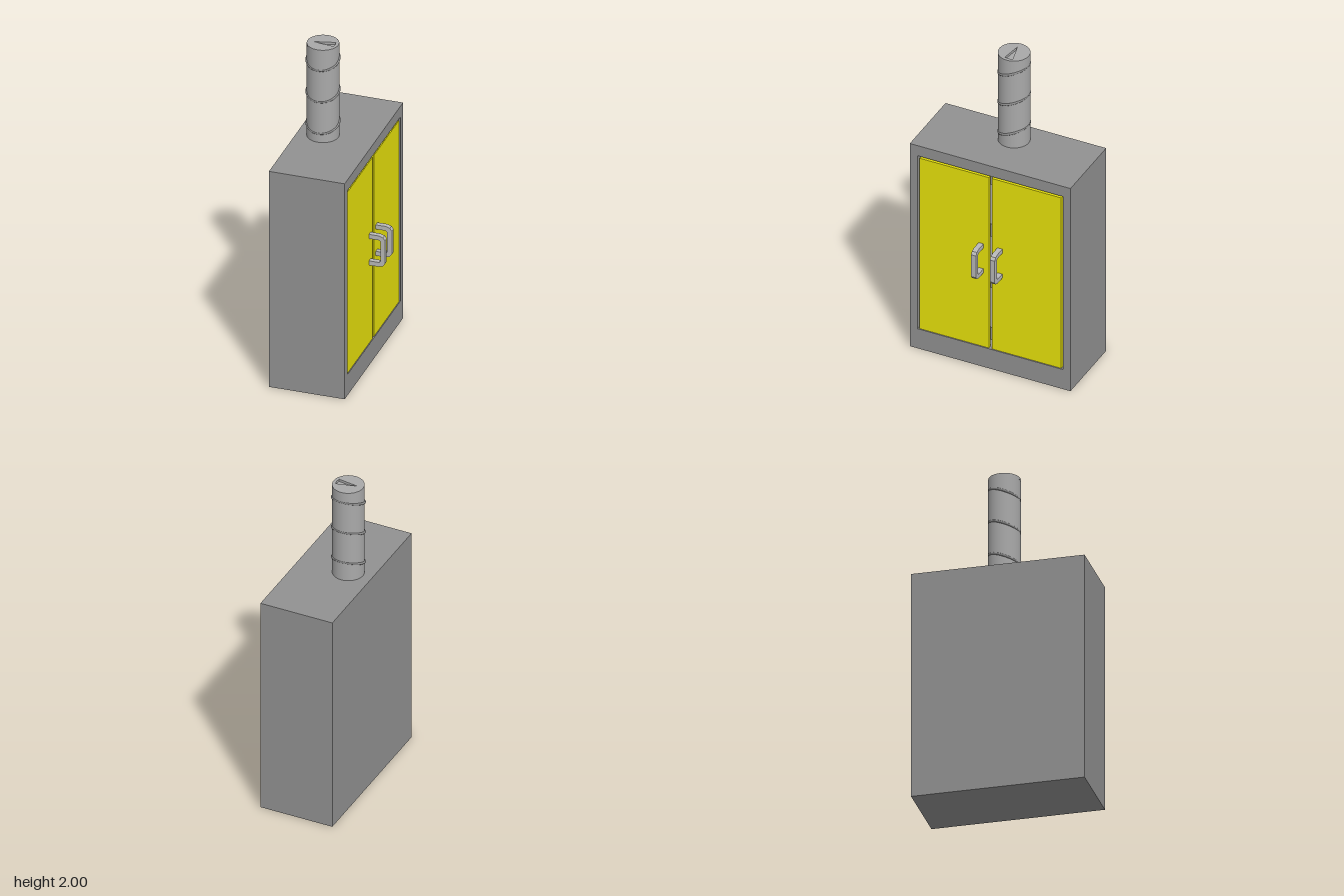
import * as THREE from 'three';

const cabinetGrey = new THREE.MeshStandardMaterial({ color: 0x919191 });
const pipeGrey = new THREE.MeshStandardMaterial({ color: 0xa9a9a9 });
const ringGrey = new THREE.MeshStandardMaterial({ color: 0x8c8c8c });
const handleGrey = new THREE.MeshStandardMaterial({ color: 0xb8b8b8 });
const yellow = new THREE.MeshStandardMaterial({ color: 0xe8e20b });

function add(parent, name, geometry, x, y, z, material) {
  const mesh = new THREE.Mesh(geometry, material);
  mesh.name = name;
  mesh.position.set(x, y, z);
  parent.add(mesh);
}

const polygon = (points) => points.map(([x, y]) => new THREE.Vector2(x, y));

function extrude(shape, depth) {
  return new THREE.ExtrudeGeometry(shape, { depth, bevelEnabled: false, curveSegments: 32 });
}

export function createModel() {
  const model = new THREE.Group();
  model.name = 'ventilatedCabinet';
  const back = -0.275, front = 0.182, panel = 0.02;

  // Hollow cabinet body, open towards +x, closed by a full back panel
  const outline = new THREE.Shape(polygon([[-0.512, 0], [0.512, 0], [0.512, 1.4], [-0.512, 1.4]]));
  outline.holes.push(new THREE.Path(polygon([[-0.463, 0.135], [-0.463, 1.33], [0.463, 1.33], [0.463, 0.135]])));
  add(model, 'cabinetBody', extrude(outline, front - back - panel).rotateY(Math.PI / 2), back + panel, 0, 0, cabinetGrey);
  add(model, 'backPanel', new THREE.BoxGeometry(panel, 1.4, 1.024), back + panel / 2, 0.7, 0, cabinetGrey);

  // Shelves seen through the gaps around the doors
  for (const y of [0.215, 0.575, 0.93, 1.287]) {
    add(model, 'shelf', new THREE.BoxGeometry(0.4, 0.085, 0.926), -0.055, y, 0, cabinetGrey);
  }

  // U-shaped handle profile with outer corners bevelled in two steps
  const handleShape = new THREE.Shape(polygon([
    [-0.01, -0.1], [0.057, -0.1], [0.082, -0.092], [0.094, -0.075],
    [0.094, 0.075], [0.082, 0.092], [0.057, 0.1], [-0.01, 0.1],
    [-0.01, 0.072], [0.058, 0.072], [0.066, 0.064], [0.066, -0.064], [0.058, -0.072], [-0.01, -0.072],
  ]));
  const handleGeometry = extrude(handleShape, 0.031).translate(0, 0, -0.0155);

  // Pair of doors, each with its handle next to the middle gap
  for (const side of [-1, 1]) {
    const door = new THREE.Group();
    door.name = side > 0 ? 'frontDoor' : 'rearDoor';
    add(door, 'doorPanel', new THREE.BoxGeometry(0.02, 1.177, 0.441), front - 0.014, 0.7255, side * 0.2305, yellow);
    add(door, 'doorHandle', handleGeometry, front - 0.001, 0.746, side * 0.06, handleGrey);
    model.add(door);
  }

  // Round chimney pipe
  const pipe = new THREE.Group();
  pipe.name = 'chimney';
  pipe.position.set(-0.125, 1.4, 0);
  model.add(pipe);
  const radius = 0.093, height = 0.6, capDepth = 0.015;
  add(pipe, 'pipeWall', new THREE.CylinderGeometry(radius, radius, height, 48, 1, true), 0, height / 2, 0, pipeGrey);

  // Pipe cap with a shallow wedge-shaped notch
  const cap = new THREE.Shape().absarc(0, 0, radius, 0, Math.PI * 2);
  cap.holes.push(new THREE.Path(polygon([[-0.055, -0.006], [0.07, 0.025], [0.074, 0], [0.07, -0.024]])));
  add(pipe, 'pipeCap', extrude(cap, capDepth).rotateX(-Math.PI / 2), 0, height - capDepth, 0, pipeGrey);
  add(pipe, 'notchFloor', new THREE.CircleGeometry(radius, 48).rotateX(-Math.PI / 2), 0, height - capDepth, 0, pipeGrey);

  // Thin rings around the pipe, tilted down towards the front
  const ringGeometry = new THREE.TorusGeometry(0.094, 0.007, 12, 64).rotateX(Math.PI / 2 + 0.36);
  for (const y of [0.088, 0.293, 0.497]) {
    add(pipe, 'pipeRing', ringGeometry, 0, y, 0, ringGrey);
  }

  return model;
}
